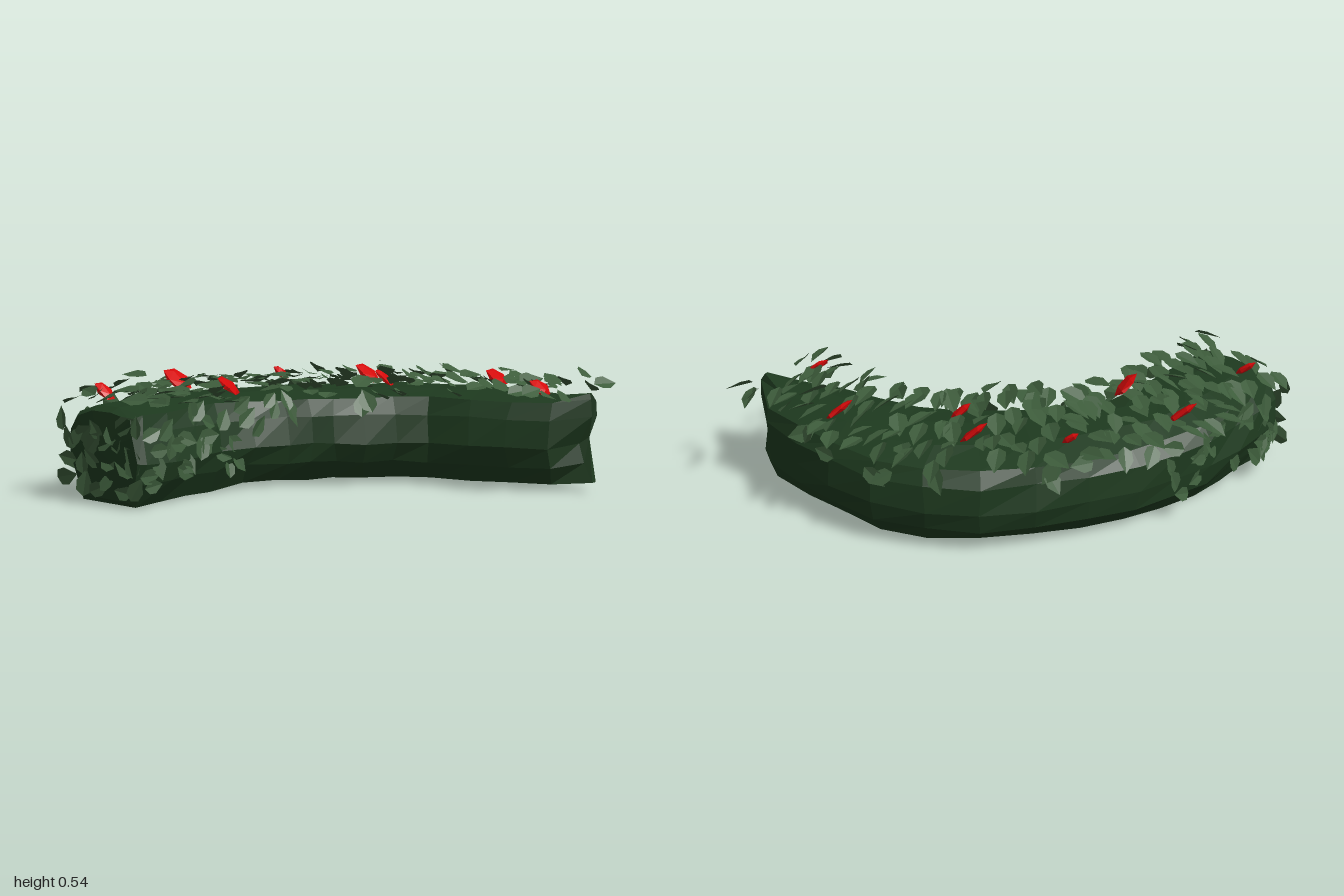
import * as THREE from 'three';
import { mergeGeometries } from 'three/addons/utils/BufferGeometryUtils.js';

const curve = (pts) => new THREE.CatmullRomCurve3(pts.map(([x, z]) => new THREE.Vector3(x, 0, z)));
// plan outline of the hedge, paired outer and inner points from the front end round to the back end
const outer = curve([[-0.88, 0.86], [-0.9, 0.6], [-0.88, 0.3], [-0.79, -0.02], [-0.62, -0.36],
  [-0.36, -0.68], [-0.02, -0.88], [0.38, -0.9], [0.75, -0.85]]);
const inner = curve([[-0.38, 0.9], [-0.36, 0.65], [-0.36, 0.38], [-0.24, 0.1], [-0.11, -0.02],
  [0.04, -0.16], [0.21, -0.32], [0.52, -0.4], [0.8, -0.52]]);
// cross-section: fraction from outer to inner side, height
const profile = [[0.17, 0.03], [0.05, 0.12], [0, 0.22], [0.03, 0.34], [0.1, 0.41], [0.35, 0.445],
  [0.65, 0.445], [0.9, 0.42], [0.96, 0.34], [1, 0.21], [0.94, 0.12], [0.82, 0.03]];

function seeded(seed) {
  return () => {
    seed = (seed * 16807) % 2147483647;
    return seed / 2147483647;
  };
}

function at(s, v, y) {
  const p = outer.getPoint(s).lerp(inner.getPoint(s), v);
  p.y = y;
  return p;
}

const outward = (s) => outer.getPoint(s).sub(inner.getPoint(s)).normalize();

// faceted hedge body: lofted rings with closed ends
function bodyGeometry() {
  const rnd = seeded(71);
  const wob = (a) => (rnd() - 0.5) * a;
  const rings = [];
  const n = 13;
  for (let i = 0; i <= n; i++) {
    const s = i / n;
    rings.push(profile.map(([v, y]) => {
      const p = at(s, v, y - (y < 0.05 && s < 0.3 ? 0.02 : 0));
      return p.add(new THREE.Vector3(wob(0.025), wob(0.014), wob(0.025)));
    }));
  }
  // back end pinched to an upright wavy edge, front end slightly pulled in
  rings.push(profile.map(([v, y]) => new THREE.Vector3(
    0.925 + 0.035 * Math.cos((y - 0.37) * 18), y + 0.02, -0.7 + v * 0.05)));
  const front = new THREE.Vector3(-0.64, 0.25, 0.94);
  const back = new THREE.Vector3(0.93, 0.26, -0.675);
  rings.unshift(rings[0].map((p) => {
    const q = p.clone().lerp(front, 0.1);
    q.z = 0.92 + 0.08 * Math.min(q.y, 0.3) + 0.1 * (q.x + 0.45);
    return q;
  }));

  const pos = [];
  const tri = (...ps) => ps.forEach((p) => pos.push(p.x, p.y, p.z));
  const m = profile.length;
  const last = rings.length - 1;
  for (let j = 0; j < m; j++) {
    const k = (j + 1) % m;
    for (let i = 0; i < last; i++) {
      tri(rings[i][j], rings[i][k], rings[i + 1][j]);
      tri(rings[i][k], rings[i + 1][k], rings[i + 1][j]);
    }
    tri(front, rings[0][k], rings[0][j]);
    tri(back, rings[last][j], rings[last][k]);
  }
  const g = new THREE.BufferGeometry();
  g.setAttribute('position', new THREE.Float32BufferAttribute(pos, 3));
  g.computeVertexNormals();
  return g;
}

// folded six-sided leaf, tip towards -z
function leafGeometry() {
  const half = (sx) => [[0, 0, 0.46], [sx * 0.27, 0.06, 0.26], [sx * 0.31, 0.06, -0.08], [0, -0.02, -0.56]];
  const pos = [];
  for (const sx of [1, -1]) {
    const h = half(sx);
    for (const [a, b] of [[1, 2], [2, 3]]) {
      const t = sx > 0 ? [h[0], h[a], h[b]] : [h[0], h[b], h[a]];
      pos.push(...t.flat());
    }
  }
  const g = new THREE.BufferGeometry();
  g.setAttribute('position', new THREE.Float32BufferAttribute(pos, 3));
  g.computeVertexNormals();
  return g;
}

const UP = new THREE.Vector3(0, 1, 0);
function placed(geo, p, normal, tilt, yaw, roll, size) {
  const q = new THREE.Quaternion().setFromUnitVectors(UP, normal.clone().normalize());
  q.multiply(new THREE.Quaternion().setFromEuler(new THREE.Euler(tilt, yaw, roll, 'YXZ')));
  return geo.clone().applyMatrix4(
    new THREE.Matrix4().compose(p, q, new THREE.Vector3(size, size, size)));
}

// red blossoms: x, z, width, length, turn
const flowers = [[-0.78, 0.25, 0.14, 0.15, 0.1], [-0.43, 0.29, 0.12, 0.16, 0.5],
  [-0.75, 0.78, 0.11, 0.08, 0], [-0.55, -0.25, 0.09, 0.06, 0], [-0.2, -0.49, 0.13, 0.14, 0.2],
  [-0.03, -0.39, 0.11, 0.1, 0.4], [0.39, -0.73, 0.11, 0.16, 0.2], [0.76, -0.51, 0.1, 0.12, 0]];

export function createModel() {
  const hedgeGreen = new THREE.MeshStandardMaterial({ color: 0x1e3a1f });
  const leafGreen = new THREE.MeshStandardMaterial({ color: 0x3d5c3b, side: THREE.DoubleSide });
  const flowerRed = new THREE.MeshStandardMaterial({ color: 0xd40909 });
  hedgeGreen.name = 'hedgeGreen';
  leafGreen.name = 'leafGreen';
  flowerRed.name = 'flowerRed';
  const group = new THREE.Group();
  const add = (name, geo, mat) => {
    const mesh = new THREE.Mesh(geo, mat);
    mesh.name = name;
    group.add(mesh);
  };
  add('hedgeBody', bodyGeometry(), hedgeGreen);

  const rnd = seeded(2024);
  const spread = (a) => (rnd() - 0.5) * 2 * a;
  const leaf = leafGeometry();

  // leaves over the top, lying across the hedge and leaning towards its nearer end,
  // leaving room for the blossoms
  const top = [];
  const addTop = (p, s, size) => {
    const o = outward(s);
    const yaw = Math.atan2(-o.x, -o.z) + spread(0.6);
    const lean = THREE.MathUtils.lerp(0.3, -0.55, s);
    top.push(placed(leaf, p, UP, -0.1 + spread(0.3), yaw, lean + spread(0.3), size));
  };
  for (let i = 0; i < 24; i++) {
    for (let j = 0; j < 7; j++) {
      const s = (i + 0.5 + spread(0.45)) / 24;
      const v = (j + 0.5 + spread(0.4)) / 7 * 1.12 - 0.06;
      const edge = v < 0.03 || v > 0.97;
      const p = at(s, v, edge ? 0.43 + rnd() * 0.07 : 0.47 + rnd() * 0.035);
      const size = 0.115 + rnd() * 0.035;
      if (flowers.every(([x, z]) => Math.hypot(p.x - x, p.z - z) > 0.065)) addTop(p, s, size);
    }
  }
  // loose sprigs past the back end and along the rim
  for (const [x, z, s] of [[0.75, -0.93, 1], [0.9, -0.86, 1], [0.82, -0.88, 1], [0.87, -0.39, 1],
    [0.77, -0.41, 1], [0.9, -0.48, 1], [0.7, -0.42, 1], [-0.93, 0.38, 0.2], [-0.91, 0.15, 0.3],
    [-0.33, 0.45, 0.2], [-0.41, 0.94, 0], [0.33, -0.92, 0.8]]) {
    addTop(new THREE.Vector3(x, 0.49 + spread(0.03), z), s, 0.13);
  }
  add('topLeaves', mergeGeometries(top), leafGreen);

  // leaves clinging to the front end face and its flanks
  const sides = [];
  const addSide = (p, normal, wobble) => sides.push(placed(leaf, p, normal,
    spread(wobble), spread(1.5), spread(wobble), 0.1 + rnd() * 0.035));
  for (let i = 0; i < 24; i++) {
    const y = 0.1 + 0.085 * Math.floor(i / 6) + spread(0.03);
    const x = -0.84 + 0.083 * (i % 6) + spread(0.03);
    addSide(new THREE.Vector3(x, y, 0.925 + 0.04 * y), new THREE.Vector3(0, 0.05, 1), 0.3);
  }
  for (let i = 0; i < 52; i++) {
    const out = i % 2 === 0;
    const s = Math.pow(rnd(), 1.5) * 0.33;
    const p = at(s, out ? 0 : 1, 0.1 + rnd() * 0.32);
    addSide(p, new THREE.Vector3(out ? -1 : 1, 0.15, 0.1), 0.25);
  }
  // sparse leaves along the upper outer and inner walls
  for (let i = 0; i < 18; i++) {
    const side = i % 3 === 0 ? -1 : 1;
    const s = 0.3 + rnd() * 0.7;
    const n = outward(s).multiplyScalar(side);
    n.y = 0.5;
    addSide(at(s, side > 0 ? 0.02 : 0.98, 0.35 + rnd() * 0.08), n, 0.35);
  }
  add('sideLeaves', mergeGeometries(sides), leafGreen);

  // blossoms leaning towards the left side
  const bud = new THREE.IcosahedronGeometry(0.56, 0);
  for (const [x, z, w, l, turn] of flowers) {
    const g = bud.clone().scale(w, 0.03, l);
    g.rotateZ(-0.72).rotateY(turn).translate(x, 0.495, z);
    g.computeVertexNormals();
    add('flower', g, flowerRed);
  }
  return group;
}
